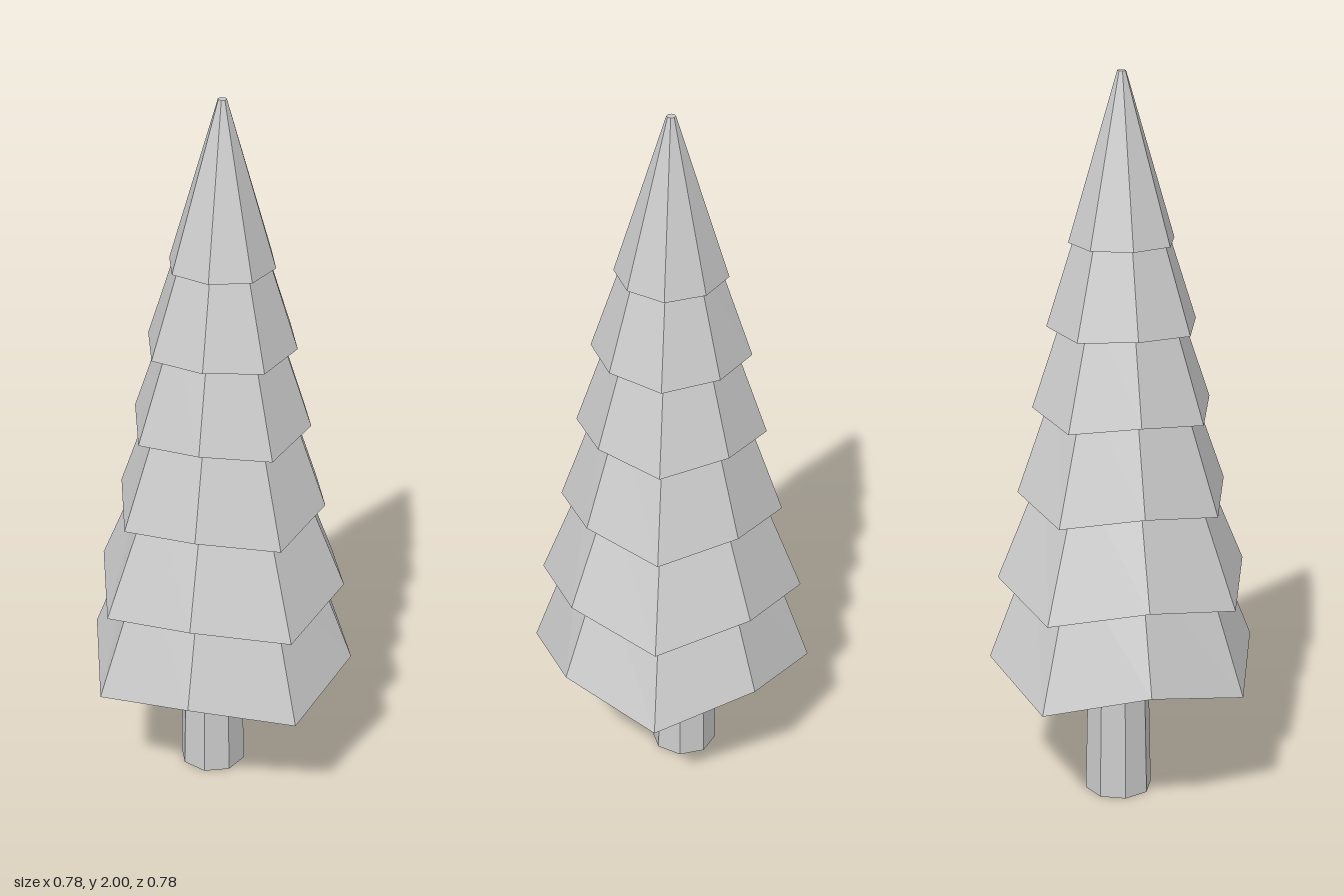
import * as THREE from 'three';

const SIDES = 8;

// Octagonal ring whose axis corners and diagonal corners have their own radius and height
function ring(rAxis, yAxis, rDiag = rAxis, yDiag = yAxis) {
  return Array.from({ length: SIDES }, (_, k) => {
    const a = (k * Math.PI * 2) / SIDES;
    const r = k % 2 ? rDiag : rAxis;
    return new THREE.Vector3(r * Math.cos(a), k % 2 ? yDiag : yAxis, r * Math.sin(a));
  });
}

// Skin rings listed from the top of the outside, round the rim and up to the underside
function loft(rings) {
  const points = [];
  for (let i = 0; i < rings.length - 1; i++) {
    const A = rings[i], B = rings[i + 1];
    for (let k = 0; k < SIDES; k++) {
      const n = (k + 1) % SIDES;
      points.push(A[k], A[n], B[k], A[n], B[n], B[k]);
    }
  }
  const g = new THREE.BufferGeometry().setFromPoints(points);
  g.computeVertexNormals();
  return g;
}

export function createModel() {
  const tree = new THREE.Group();
  tree.name = 'pineTree';
  const material = new THREE.MeshStandardMaterial({ color: 0xcccccc, flatShading: true });

  // Trunk: tapered octagon, set slightly off centre
  const trunkGeo = new THREE.CylinderGeometry(0.08, 0.093, 0.58, SIDES);
  trunkGeo.translate(-0.012, 0.29, -0.035);
  const trunk = new THREE.Mesh(trunkGeo, material);
  trunk.name = 'trunk';
  tree.add(trunk);

  // Foliage tiers: rim radius and height (axis, diagonal), slope inward, top height, recess depth
  const tiers = [
    { r: 0.388, y: 0.345, rd: 0.368, yd: 0.41, slope: 0.355, top: 0.74, recess: 0.185 },
    { r: 0.36, y: 0.59, rd: 0.342, yd: 0.64, slope: 0.39, top: 0.97, recess: 0.14 },
    { r: 0.302, y: 0.845, rd: 0.285, yd: 0.88, slope: 0.35, top: 1.2, recess: 0.1 },
    { r: 0.255, y: 1.092, rd: 0.242, yd: 1.115, slope: 0.34, top: 1.42, recess: 0.08 },
    { r: 0.212, y: 1.328, rd: 0.202, yd: 1.335, slope: 0.335, top: 1.63, recess: 0.06 },
    { r: 0.149, y: 1.557, rd: 0.142, yd: 1.557, slope: 0.309, top: 2.0, recess: 0.04 },
  ];
  tiers.forEach((t, i) => {
    const rTop = t.r - t.slope * (t.top - t.y);
    const yIn = t.y + t.recess;
    const geo = loft([
      ring(0, t.top),
      ring(rTop, t.top, rTop * 0.97),
      ring(t.r, t.y, t.rd, t.yd),
      ring(t.r * 0.805, yIn, t.rd * 0.805),
      ring(0, yIn),
    ]);
    const mesh = new THREE.Mesh(geo, material);
    mesh.name = `foliageTier${i + 1}`;
    tree.add(mesh);
  });

  return tree;
}
